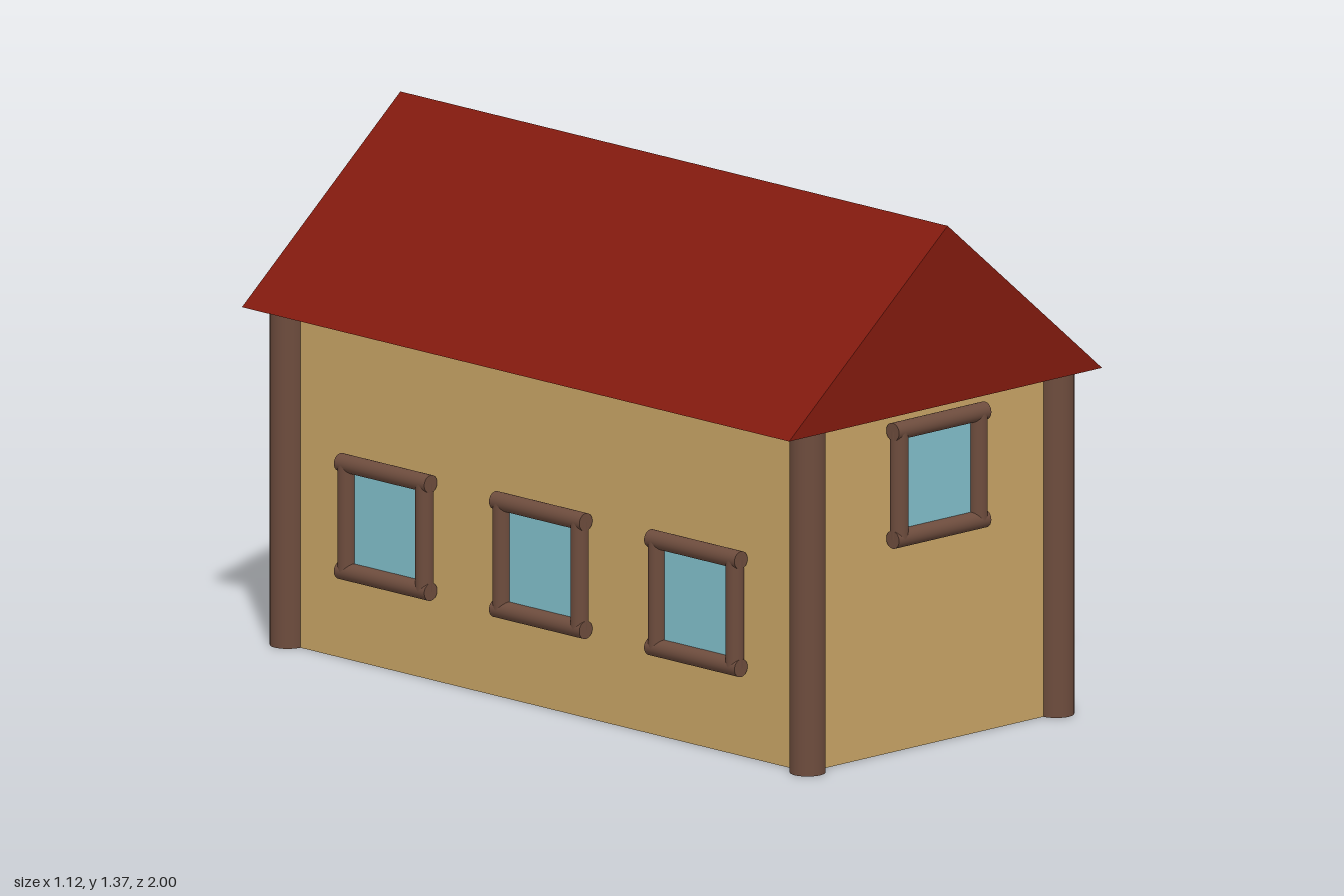
import * as THREE from 'three';

const mat = (color) => new THREE.MeshStandardMaterial({ color });
const wood = mat(0x6d4c3d), plaster = mat(0xc9a566), glass = mat(0x82c0cc);
const doorWood = mat(0x3c1f1a), tile = mat(0x821a0e);

const WALL_X = 0.445, WALL_Z = 0.95, WALL_H = 0.9, LOG = 0.0235;

function add(parent, name, geometry, material, x = 0, y = 0, z = 0) {
  const mesh = new THREE.Mesh(geometry, material);
  mesh.name = name;
  mesh.position.set(x, y, z);
  parent.add(mesh);
  return mesh;
}

// round log, upright or lying along local x
function log(parent, name, radius, length, x, y, z, lying = false) {
  const mesh = add(parent, name, new THREE.CylinderGeometry(radius, radius, length, 32), wood, x, y, z);
  if (lying) mesh.rotation.z = Math.PI / 2;
  return mesh;
}

// window in a local frame: wall plane at z = 0, outside toward +z
function makeWindow() {
  const g = new THREE.Group();
  g.name = 'window';
  add(g, 'windowPane', new THREE.BoxGeometry(0.25, 0.26, 0.03), glass, 0, 0, 0.005);
  for (const s of [-1, 1]) {
    log(g, 'windowRail', LOG, 0.33, 0, s * 0.142, 0.025, true);
    log(g, 'windowStile', LOG, 0.285, s * 0.142, 0, 0.025);
  }
  return g;
}

function makeDoor() {
  const g = new THREE.Group();
  g.name = 'door';
  add(g, 'doorPanel', new THREE.BoxGeometry(0.25, 0.475, 0.03), doorWood, 0, 0.2375, 0.005);
  for (const s of [-1, 1]) log(g, 'doorPost', LOG, 0.51, s * 0.142, 0.255, 0.025);
  log(g, 'doorLintel', LOG, 0.38, 0, 0.523, 0.025, true);
  return g;
}

export function createModel() {
  const house = new THREE.Group();
  house.name = 'house';

  add(house, 'walls', new THREE.BoxGeometry(WALL_X * 2, WALL_H, WALL_Z * 2), plaster, 0, WALL_H / 2, 0);

  // corner posts
  for (const x of [-WALL_X, WALL_X])
    for (const z of [-WALL_Z, WALL_Z]) log(house, 'cornerPost', 0.046, WALL_H, x, WALL_H / 2, z);

  // solid gable roof
  const gable = new THREE.Shape([
    new THREE.Vector2(-0.56, 0.9), new THREE.Vector2(0.56, 0.9), new THREE.Vector2(0.007, 1.37),
  ]);
  add(house, 'roof', new THREE.ExtrudeGeometry(gable, { depth: 2, bevelEnabled: false }), tile, 0, 0, -1);

  // openings: position and the direction they face
  const place = (part, x, y, z, turn) => {
    part.position.set(x, y, z);
    part.rotation.y = turn;
    house.add(part);
  };
  place(makeWindow(), 0, 0.71, WALL_Z, 0);
  place(makeWindow(), 0, 0.71, -WALL_Z, Math.PI);
  for (const z of [-0.567, 0.567]) place(makeWindow(), WALL_X, 0.382, z, Math.PI / 2);
  for (const z of [-0.567, 0, 0.567]) place(makeWindow(), -WALL_X, 0.382, z, -Math.PI / 2);
  place(makeDoor(), WALL_X, 0, 0, Math.PI / 2);

  return house;
}
